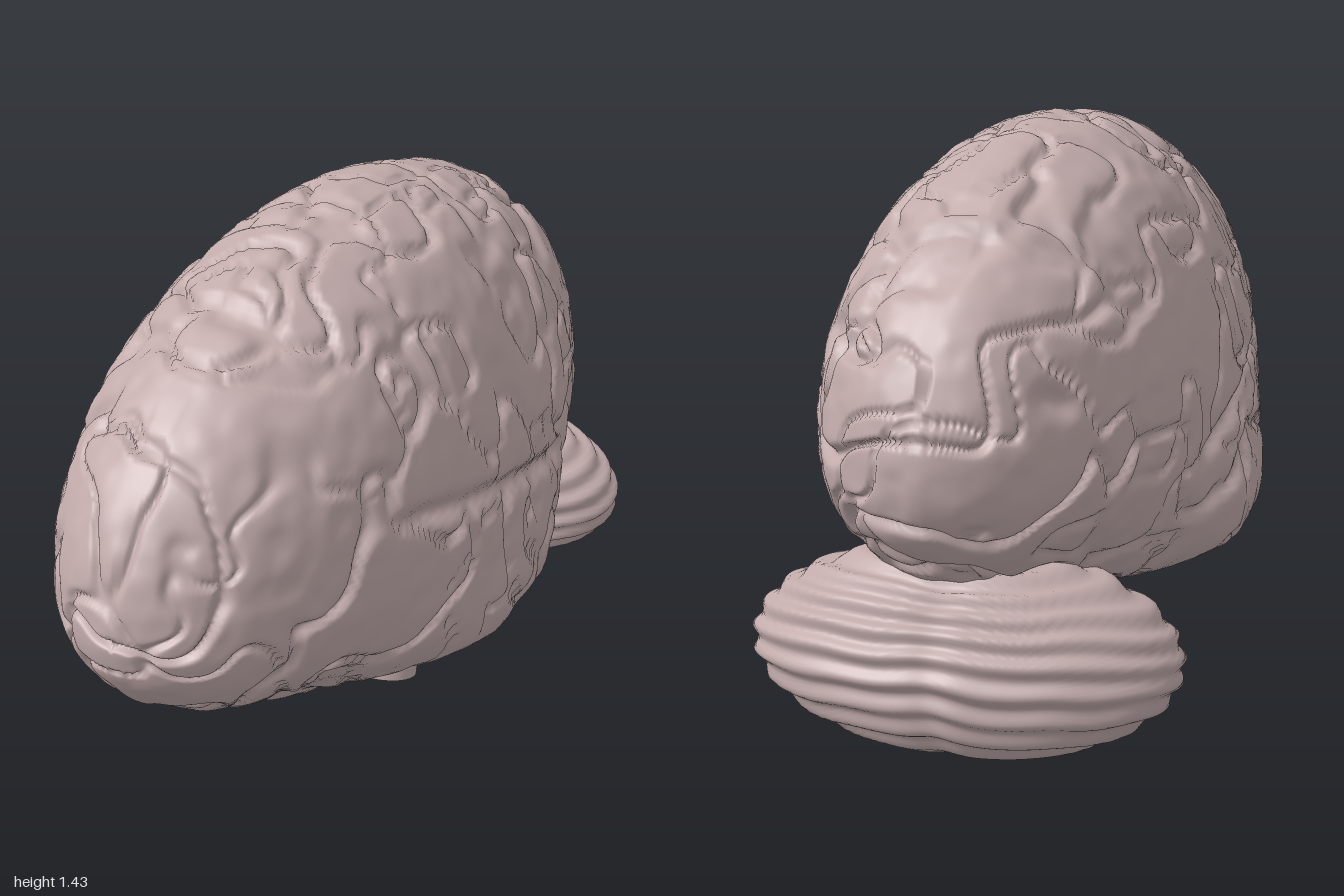
import * as THREE from 'three';
import { mergeVertices } from 'three/addons/utils/BufferGeometryUtils.js';

const V2 = (x, y) => new THREE.Vector3(x, y, 0);
const { smoothstep, lerp } = THREE.MathUtils;

// Smooth seeded lattice noise, about -1..1
function hash(x, y, z, seed) {
  const s = Math.sin(x * 127.1 + y * 311.7 + z * 74.7 + seed * 53.3) * 43758.5453;
  return (s - Math.floor(s)) * 2 - 1;
}
function noise(x, y, z, seed) {
  const ix = Math.floor(x), iy = Math.floor(y), iz = Math.floor(z);
  const ease = t => t * t * t * (t * (t * 6 - 15) + 10);
  const u = ease(x - ix), v = ease(y - iy), w = ease(z - iz);
  let sum = 0;
  for (let i = 0; i < 2; i++)
    for (let j = 0; j < 2; j++)
      for (let k = 0; k < 2; k++)
        sum += hash(ix + i, iy + j, iz + k, seed) * (i ? u : 1 - u) * (j ? v : 1 - v) * (k ? w : 1 - w);
  return sum;
}

// Sphere with shared vertices, shaped by a rule
function shapedSphere(across, along, rule) {
  let g = new THREE.SphereGeometry(1, across, along).rotateX(Math.PI / 2);
  g.deleteAttribute('uv');
  g.deleteAttribute('normal');
  g = mergeVertices(g, 1e-5);
  const pos = g.attributes.position, p = new THREE.Vector3();
  for (let i = 0; i < pos.count; i++) {
    rule(p.fromBufferAttribute(pos, i));
    pos.setXYZ(i, p.x, p.y, p.z);
  }
  g.computeVertexNormals();
  return g;
}

// Move each vertex along its normal
function displace(g, height) {
  const pos = g.attributes.position, nor = g.attributes.normal;
  const p = new THREE.Vector3(), n = new THREE.Vector3();
  for (let i = 0; i < pos.count; i++) {
    p.fromBufferAttribute(pos, i);
    n.fromBufferAttribute(nor, i);
    p.addScaledVector(n, height(p));
    pos.setXYZ(i, p.x, p.y, p.z);
  }
  g.computeVertexNormals();
  return g;
}

// Winding furrows along the zero lines of warped noise
const groove = (value, width) => Math.exp(-((value / width) ** 2));
function furrows(p) {
  const wx = p.x + 0.09 * noise(p.x * 6, p.y * 6, p.z * 6, 1);
  const wy = p.y + 0.09 * noise(p.x * 6, p.y * 6, p.z * 6, 2);
  const wz = p.z + 0.09 * noise(p.x * 6, p.y * 6, p.z * 6, 3);
  const major = groove(noise(wx * 5, wy * 4, wz * 5.5, 4), 0.08);
  const minor = groove(noise(wx * 7, wy * 6, wz * 7, 5), 0.09);
  let depth = Math.max(0.022 * major, 0.014 * minor);
  // Long slanting furrow above each side lobe
  if (Math.abs(p.x) > 0.25) {
    const line = 0.82 + 0.235 * (p.z - 0.02);
    const reach = smoothstep(p.z, -0.42, -0.28) * (1 - smoothstep(p.z, 0.42, 0.55));
    depth = Math.max(depth, 0.03 * reach * groove(p.y - line, 0.025));
  }
  return -depth + 0.003 * noise(p.x * 22, p.y * 22, p.z * 22, 6);
}

function cerebrumGeometry() {
  // Half cross-section at the middle, from crown to underside
  const section = new THREE.CatmullRomCurve3([
    V2(0, 0.622), V2(0.12, 0.597), V2(0.24, 0.52), V2(0.345, 0.385), V2(0.42, 0.21),
    V2(0.455, 0.06), V2(0.463, -0.02), V2(0.475, -0.12), V2(0.488, -0.25),
    V2(0.465, -0.335), V2(0.38, -0.385), V2(0.2, -0.415), V2(0, -0.425),
  ]);
  const g = shapedSphere(270, 200, p => {
    const r = Math.hypot(p.x, p.y), a = Math.atan2(p.x, p.y);
    const s = section.getPointAt(Math.min(1, Math.abs(a) / Math.PI));
    // The side lobes round off into an oval towards both ends
    const oval = Math.sqrt(Math.max(0, 1 - (s.y / (s.y > 0 ? 0.622 : 0.425)) ** 2));
    const x = lerp(s.x, 0.45 * oval, smoothstep(Math.abs(p.z), 0.1, 0.75));
    p.set(Math.sign(a) * x * r, 0.81 + s.y * r, p.z);
  });
  return displace(g, furrows);
}

function cerebellumGeometry() {
  const c = new THREE.Vector3(0, 0.39, -0.712);
  const g = shapedSphere(120, 110, p => p.set(p.x * 0.46, c.y + p.y * 0.215, c.z + p.z * 0.253));
  // Wavy stacked leaf ridges, with a shallow middle dip
  return displace(g, p => {
    const x = p.x / 0.46, z = (p.z - c.z) / 0.253, y = (p.y - c.y) / 0.215 + 0.25 * z;
    const wobble = 1.6 * noise(p.x * 7, p.y * 6, p.z * 6, 8);
    const level = Math.atan2(y, Math.hypot(x, z));
    return 0.007 * Math.sin(level * 25 + wobble) - 0.008 * groove(p.x, 0.04);
  });
}

export function createModel() {
  const model = new THREE.Group();
  model.name = 'brain';
  const tissue = new THREE.MeshStandardMaterial({ color: 0xc2abab, side: THREE.DoubleSide });
  tissue.name = 'dusty pink tissue';
  const add = (name, geometry) => {
    const mesh = new THREE.Mesh(geometry, tissue);
    mesh.name = name;
    model.add(mesh);
    return mesh;
  };

  add('cerebrum', cerebrumGeometry());
  add('cerebellum', cerebellumGeometry());

  // Hollow oval stem leaning back into the underside
  const tube = new THREE.CylinderGeometry(1, 1, 0.55, 48, 1, true);
  const stem = add('brainStem', tube.translate(0, 0.275, 0).scale(0.108, 1, 0.088));
  stem.position.set(0, 0.019, -0.205);
  stem.rotation.x = -0.215;

  return model;
}
